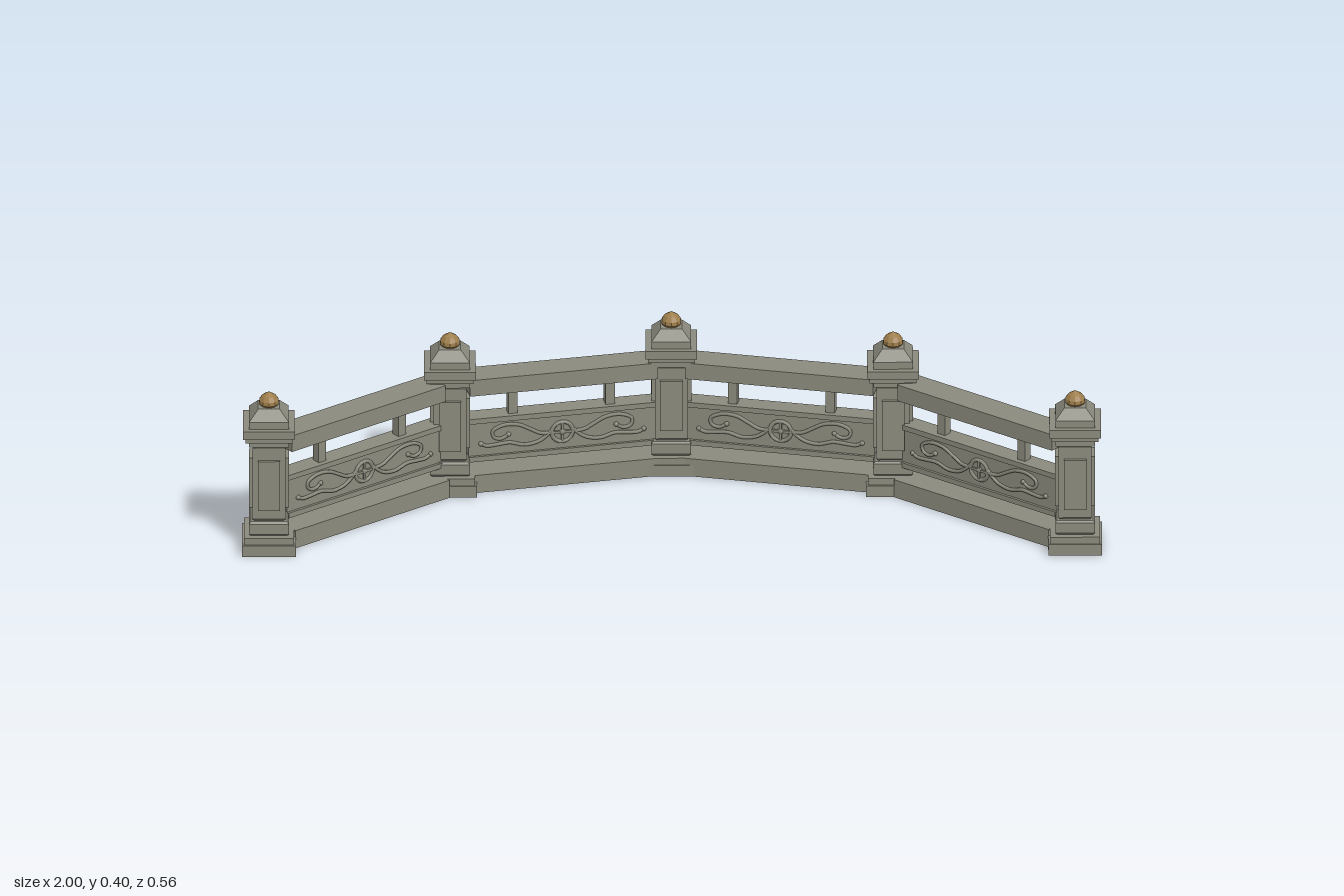
import * as THREE from 'three';

const stone = new THREE.MeshStandardMaterial({ color: 0x8b8a7d });
stone.name = 'weathered stone';
const bronze = new THREE.MeshStandardMaterial({ color: 0x9c7c4a });
bronze.name = 'bronze';

// Post positions in plan, left end to right end of the curve
const POSTS = [[-0.937, 0.217], [-0.515, -0.105], [0, -0.217], [0.515, -0.105], [0.937, 0.217]];

function flat(geo) {
  const g = geo.toNonIndexed();
  g.computeVertexNormals();
  return g;
}

function add(parent, name, geo, material = stone) {
  const mesh = new THREE.Mesh(geo, material);
  mesh.name = name;
  parent.add(mesh);
  return mesh;
}

// Box standing between two heights
function slab(parent, name, w, y0, y1, d = w) {
  const mesh = add(parent, name, new THREE.BoxGeometry(w, y1 - y0, d));
  mesh.position.y = (y0 + y1) / 2;
  return mesh;
}

// Square frustum between two heights
function taper(parent, name, w0, w1, y0, y1) {
  const geo = new THREE.CylinderGeometry(w1 / Math.SQRT2, w0 / Math.SQRT2, y1 - y0, 4);
  geo.rotateY(Math.PI / 4);
  const mesh = add(parent, name, flat(geo));
  mesh.position.y = (y0 + y1) / 2;
}

function makePost() {
  const post = new THREE.Group();
  post.name = 'post';
  slab(post, 'plinth', 0.125, 0, 0.028);
  slab(post, 'plinthStep', 0.116, 0.028, 0.045);
  taper(post, 'footLowerBevel', 0.084, 0.092, 0.045, 0.05);
  slab(post, 'foot', 0.092, 0.05, 0.076);
  taper(post, 'footUpperBevel', 0.092, 0.084, 0.076, 0.081);
  taper(post, 'shaftLowerBevel', 0.07, 0.077, 0.081, 0.086);
  slab(post, 'shaft', 0.077, 0.086, 0.268);
  taper(post, 'shaftUpperBevel', 0.077, 0.07, 0.268, 0.273);
  // Raised panel on each shaft face
  for (let i = 0; i < 4; i++) {
    const face = new THREE.Group();
    face.name = 'shaftFace';
    face.rotation.y = i * Math.PI / 2;
    slab(face, 'shaftPanel', 0.052, 0.11, 0.237, 0.009).position.z = 0.042;
    post.add(face);
  }
  // Stepped cap
  slab(post, 'capNeck', 0.092, 0.273, 0.288);
  slab(post, 'capStep', 0.109, 0.288, 0.3);
  slab(post, 'capSlab', 0.12, 0.3, 0.32);
  slab(post, 'capUpper', 0.092, 0.32, 0.338);
  taper(post, 'capRoof', 0.092, 0.05, 0.338, 0.362);
  // Pointed bud finial
  const profile = [[0, 0.36], [0.018, 0.36], [0.024, 0.367], [0.023, 0.376], [0.016, 0.386], [0.006, 0.392], [0, 0.396]]
    .map(([x, y]) => new THREE.Vector2(x, y));
  add(post, 'finial', flat(new THREE.LatheGeometry(profile, 10)), bronze);
  return post;
}

// Carved medallion with scrolls, in the panel plane
function makeCarving() {
  const carving = new THREE.Group();
  carving.name = 'carving';
  add(carving, 'medallionRing', new THREE.TorusGeometry(0.025, 0.005, 6, 20));
  for (let i = 0; i < 2; i++) {
    const spoke = add(carving, 'medallionSpoke', new THREE.BoxGeometry(0.048, 0.006, 0.007));
    spoke.rotation.z = i * Math.PI / 2;
  }
  const hub = add(carving, 'medallionHub', new THREE.SphereGeometry(0.008, 8, 6));
  hub.scale.z = 0.7;
  const upper = [[-0.128, 0.006], [-0.145, -0.003], [-0.163, 0.002], [-0.166, 0.018], [-0.14, 0.031],
    [-0.105, 0.029], [-0.075, 0.014], [-0.052, 0.002], [-0.026, 0]];
  const lower = [[-0.194, -0.012], [-0.18, -0.018], [-0.155, -0.017], [-0.125, -0.015], [-0.09, -0.024],
    [-0.058, -0.019], [-0.04, -0.008], [-0.026, 0.006]];
  for (const side of [1, -1]) {
    for (const [name, pts] of [['upperScroll', upper], ['lowerScroll', lower]]) {
      const path = new THREE.CatmullRomCurve3(pts.map(([x, y]) => new THREE.Vector3(x * side, y, 0)));
      add(carving, name, new THREE.TubeGeometry(path, 32, 0.0045, 6));
    }
    for (const [x, y] of [upper[0], lower[0]]) {
      add(carving, 'scrollTip', new THREE.SphereGeometry(0.006, 8, 6)).position.set(x * side, y, 0);
    }
  }
  return carving;
}

// Railing bay, running along its own x axis
function makeBay(length) {
  const bay = new THREE.Group();
  bay.name = 'railingBay';
  const span = length - 0.08;
  slab(bay, 'curb', span, 0, 0.045, 0.1);
  slab(bay, 'lowerSill', span, 0.067, 0.08, 0.048);
  slab(bay, 'panel', span, 0.08, 0.164, 0.035);
  slab(bay, 'upperSill', span, 0.164, 0.177, 0.048);
  slab(bay, 'topRail', span, 0.242, 0.283, 0.072);
  for (const side of [1, -1]) {
    slab(bay, 'baluster', 0.022, 0.177, 0.242).position.x = side * length * 0.22;
    const carving = makeCarving();
    carving.position.set(0, 0.122, side * 0.0185);
    carving.rotation.y = side > 0 ? 0 : Math.PI;
    bay.add(carving);
  }
  return bay;
}

export function createModel() {
  const model = new THREE.Group();
  model.name = 'curvedBalustrade';
  POSTS.forEach(([x, z], i) => {
    const post = makePost();
    post.position.set(x, 0, z);
    model.add(post);
    if (i === POSTS.length - 1) return;
    const [x2, z2] = POSTS[i + 1];
    const bay = makeBay(Math.hypot(x2 - x, z2 - z));
    bay.position.set((x + x2) / 2, 0, (z + z2) / 2);
    bay.rotation.y = Math.atan2(z - z2, x2 - x);
    model.add(bay);
  });
  return model;
}
